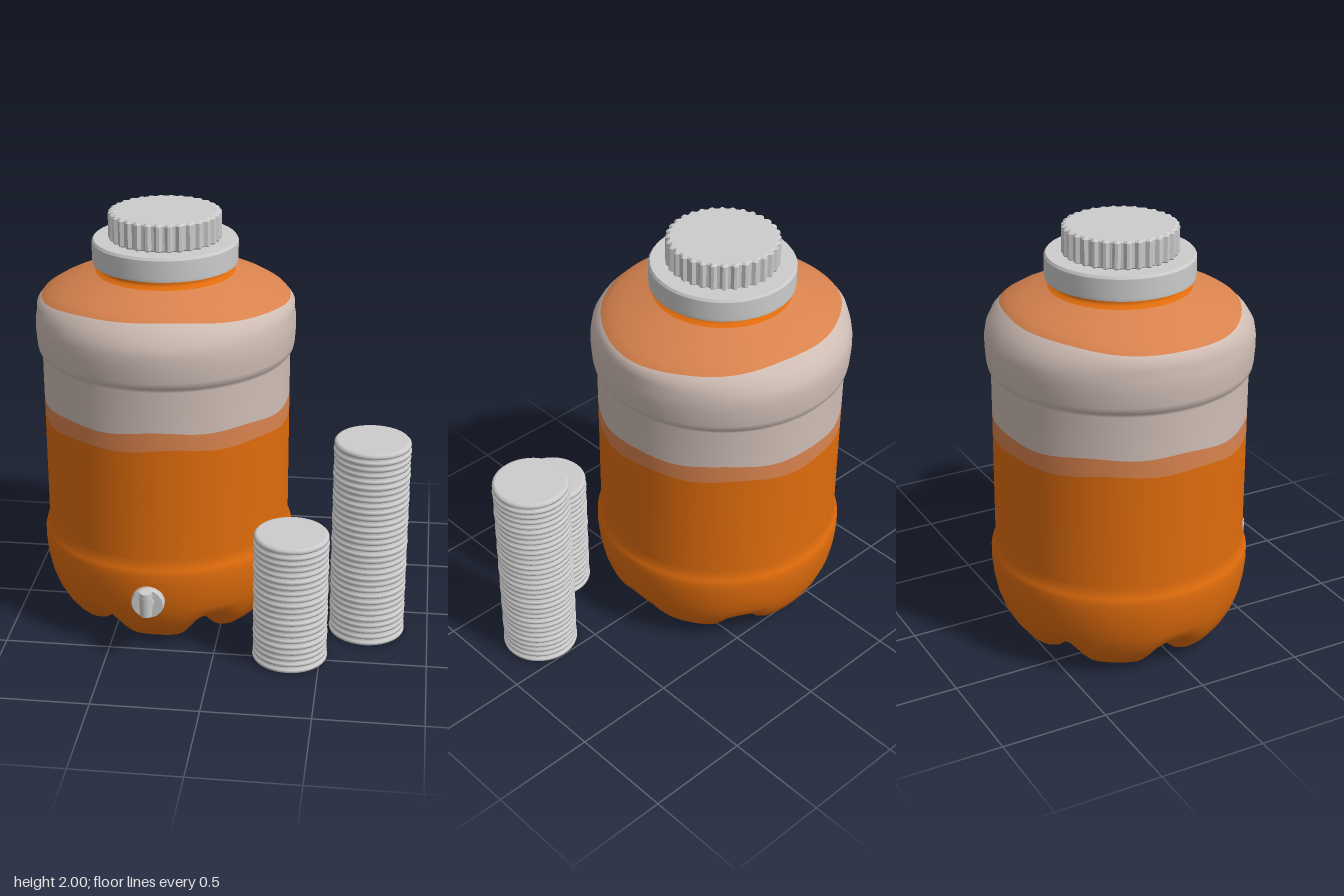
import * as THREE from 'three';

const mat = (name, color, side = THREE.FrontSide) => {
  const m = new THREE.MeshStandardMaterial({ color, side });
  m.name = name;
  return m;
};

// Jug outline from the underside centre up to the neck: [radius, height]
const PROFILE = [
  [0, 0.07], [0.06, 0.065], [0.14, 0.05], [0.22, 0.025], [0.3, 0.006], [0.36, 0], [0.41, 0.003],
  [0.455, 0.025], [0.495, 0.06], [0.53, 0.105], [0.56, 0.16], [0.583, 0.225], [0.598, 0.3],
  [0.605, 0.37], [0.605, 0.42], [0.598, 0.445], [0.588, 0.46], [0.585, 0.5], [0.585, 0.8],
  [0.585, 1.035], [0.585, 1.12], [0.585, 1.33], [0.588, 1.345], [0.601, 1.355], [0.606, 1.38],
  [0.611, 1.45], [0.61, 1.5], [0.602, 1.545], [0.585, 1.585], [0.555, 1.62], [0.515, 1.645],
  [0.45, 1.675], [0.38, 1.7], [0.325, 1.718], [0.304, 1.728], [0.3, 1.74], [0.3, 1.78],
];
const LOW_LINE = 19, HIGH_LINE = 20, TOP_LINE = 29, NECK_LINE = 33;

const smooth = THREE.MathUtils.smoothstep;

// Jug surface: rings with moulded feet, wavy colour lines, one group per colour band
function jugGeometry(segments = 120) {
  const pos = [], index = [], n = PROFILE.length;
  PROFILE.forEach(([r0, y0], row) => {
    for (let i = 0; i < segments; i++) {
      const a = (i / segments) * Math.PI * 2;
      let r = r0, y = y0;
      if (y0 < 0.3) {
        // six radial grooves between the feet
        const g = Math.pow((1 + Math.cos(6 * (a - Math.PI / 2))) / 2, 4);
        const w = smooth(r0, 0.05, 0.36) * (1 - smooth(y0, 0.04, 0.2));
        y += 0.085 * g * w;
        r -= 0.03 * g * w;
      } else if (row === LOW_LINE || row === HIGH_LINE) {
        y += 0.009 * Math.sin(3 * a + 1) + 0.007 * Math.sin(8 * a + row);
      } else if (row > TOP_LINE - 2 && row < TOP_LINE + 3) {
        // the upper colour line sits higher at front and back than at the sides
        const k = 1 - Math.abs(row - TOP_LINE) / 3;
        const s = -(Math.cos(2 * a) + 0.12 * Math.sin(7 * a)) * k;
        r += 0.026 * s;
        y -= 0.016 * s;
      }
      pos.push(r * Math.sin(a), y, r * Math.cos(a));
    }
  });
  const geo = new THREE.BufferGeometry();
  const bands = [[0, LOW_LINE, 0], [LOW_LINE, HIGH_LINE, 1], [HIGH_LINE, TOP_LINE, 2],
    [TOP_LINE, NECK_LINE, 1], [NECK_LINE, n - 1, 0]];
  for (const [from, to, material] of bands) {
    const start = index.length;
    for (let row = from; row < to; row++) {
      for (let i = 0; i < segments; i++) {
        const j = (i + 1) % segments;
        const p = row * segments + i, q = row * segments + j;
        index.push(p, q, q + segments, p, q + segments, p + segments);
      }
    }
    geo.addGroup(start, index.length - start, material);
  }
  geo.setAttribute('position', new THREE.Float32BufferAttribute(pos, 3));
  geo.setIndex(index);
  geo.computeVertexNormals();
  return geo;
}

// Ribbed lid outline, extruded upward
function ribbedLid(radius, depth, ribs, height) {
  const shape = new THREE.Shape();
  const pts = [];
  for (let i = 0; i < ribs * 4; i++) {
    const a = (i / (ribs * 4)) * Math.PI * 2;
    const r = i % 4 < 2 ? radius : radius - depth;
    pts.push(new THREE.Vector2(r * Math.cos(a), r * Math.sin(a)));
  }
  shape.setFromPoints(pts);
  const bevel = 0.008;
  const geo = new THREE.ExtrudeGeometry(shape, {
    depth: height - bevel * 2, bevelEnabled: true, bevelSize: bevel,
    bevelOffset: -bevel, bevelThickness: bevel, bevelSegments: 1,
  });
  return geo.translate(0, 0, bevel).rotateX(-Math.PI / 2);
}

// Pile of thin round-edged discs as one turned form
function discPile(radius, height, count) {
  const t = height / count, pts = [new THREE.Vector2(0, 0)];
  for (let i = 0; i < count; i++) {
    const y = i * t, r = radius - 0.003 * Math.abs(Math.sin(i * 2.3));
    pts.push(new THREE.Vector2(r - 0.015, y), new THREE.Vector2(r - 0.002, y + t * 0.25),
      new THREE.Vector2(r, y + t * 0.5), new THREE.Vector2(r - 0.002, y + t * 0.75));
  }
  pts.push(new THREE.Vector2(radius - 0.012, height), new THREE.Vector2(radius - 0.02, height),
    new THREE.Vector2(0, height));
  return new THREE.LatheGeometry(pts, 40);
}

export function createModel() {
  const orange = mat('orange drink', 0xe06c0c);
  const salmon = mat('pale orange', 0xd9834e);
  const clay = mat('pinkish grey', 0xcfbdb5);
  const grey = mat('light grey', 0xcccccc);

  const model = new THREE.Group();
  const add = (parent, name, geo, material, x = 0, y = 0, z = 0) => {
    const mesh = new THREE.Mesh(geo, material);
    mesh.name = name;
    mesh.position.set(x, y, z);
    parent.add(mesh);
    return mesh;
  };

  // Drink jug
  const jug = new THREE.Group();
  jug.name = 'drinkJug';
  jug.position.set(-0.29, 0, -0.052);
  model.add(jug);
  add(jug, 'jugBody', jugGeometry(), [orange, salmon, clay]);

  // Screw lid: wide collar below, ribbed cap above
  const collar = [[0.28, 1.76], [0.338, 1.76], [0.338, 1.76], [0.34, 1.775], [0.34, 1.86],
    [0.34, 1.86], [0.332, 1.872], [0.332, 1.872], [0, 1.872]].map(([r, y]) => new THREE.Vector2(r, y));
  add(jug, 'lidCollar', new THREE.LatheGeometry(collar, 40), grey);
  add(jug, 'lidCap', ribbedLid(0.262, 0.014, 32, 0.13), grey, 0, 1.87, 0);

  // Spigot: flange, barrel, spout and upright handle
  const tap = new THREE.Group();
  tap.name = 'spigot';
  tap.position.set(-0.01, 0.29, 0.58);
  jug.add(tap);
  add(tap, 'spigotSeal', new THREE.CylinderGeometry(0.078, 0.078, 0.04, 24).rotateX(Math.PI / 2), clay, 0, 0, 0.02);
  add(tap, 'spigotFlange', new THREE.CylinderGeometry(0.072, 0.078, 0.012, 24).rotateX(Math.PI / 2), grey, 0, 0, 0.046);
  add(tap, 'spigotBarrel', new THREE.CylinderGeometry(0.028, 0.034, 0.05, 16).rotateX(Math.PI / 2), grey, 0, 0.01, 0.07);
  add(tap, 'spigotSpout', new THREE.CylinderGeometry(0.032, 0.028, 0.1, 16), grey, 0, 0.01, 0.085);
  add(tap, 'spigotHandle', new THREE.CylinderGeometry(0.03, 0.03, 0.025, 16), grey, 0, 0.068, 0.085);

  // Cup stacks
  add(model, 'shortStack', discPile(0.177, 0.645, 21), grey, 0.358, 0, 0.472);
  add(model, 'tallStack', discPile(0.182, 1.0, 32), grey, 0.706, 0, 0.175);

  return model;
}
